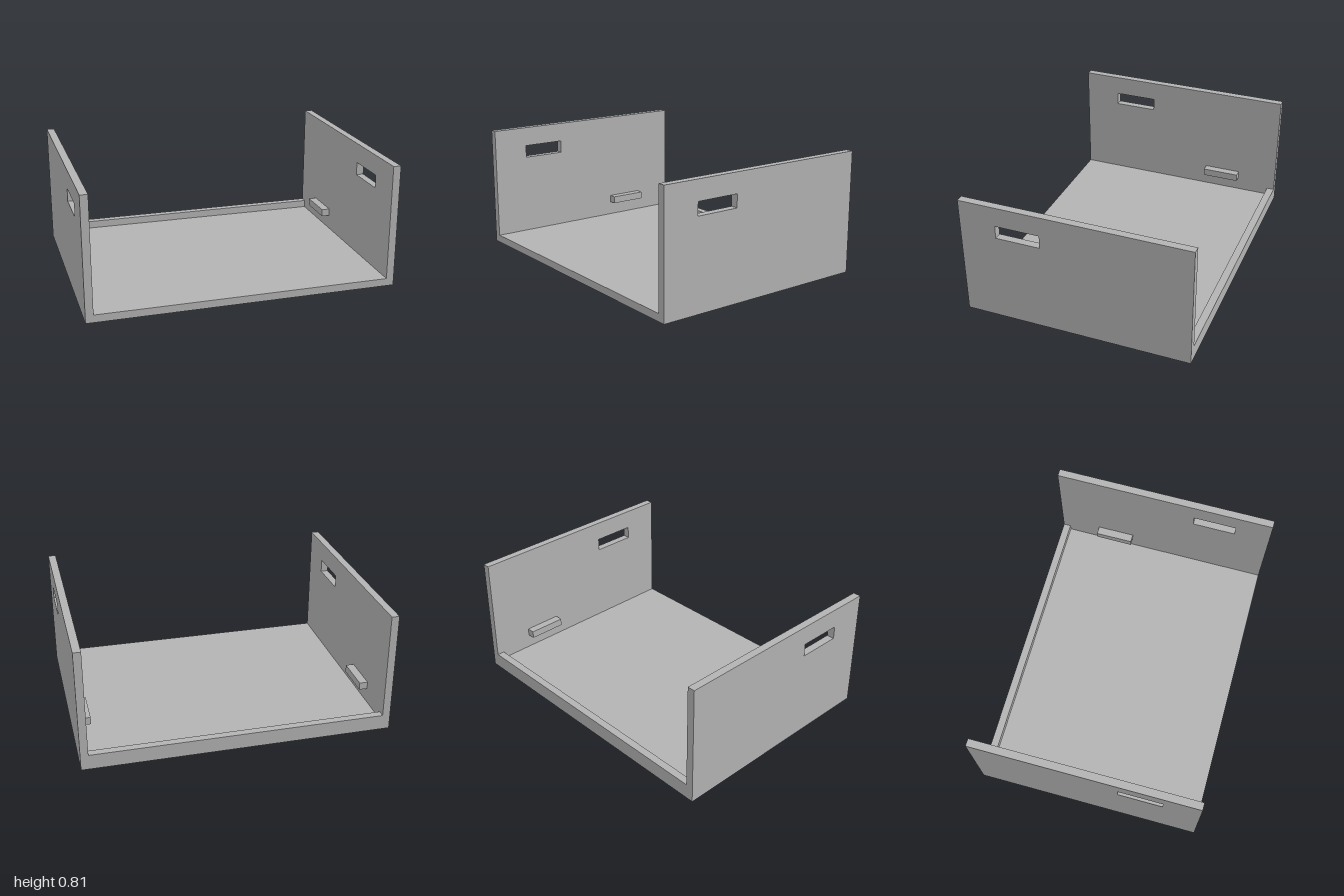
import * as THREE from 'three';

const T = 0.05;        // panel thickness
const HEIGHT = 0.805;
const HALF_Z = 0.745;

export function createModel() {
  const group = new THREE.Group();
  const grey = new THREE.MeshStandardMaterial({ color: 0xb3b3b3 });
  grey.name = 'grey';

  const add = (name, geometry, x, y, z) => {
    const mesh = new THREE.Mesh(geometry, grey);
    mesh.name = name;
    mesh.position.set(x, y, z);
    group.add(mesh);
  };

  // Clockwise or counter-clockwise rectangle in the (z, y) plane
  const rect = (path, z0, y0, z1, y1) =>
    path.moveTo(z0, y0).lineTo(z1, y0).lineTo(z1, y1).lineTo(z0, y1).closePath();

  // Side wall profile with its handle slot
  const profile = new THREE.Shape();
  rect(profile, -HALF_Z, 0, HALF_Z, HEIGHT);
  const slot = new THREE.Path();
  rect(slot, 0.215, 0.59, 0.505, 0.675);
  profile.holes.push(slot);
  const wall = new THREE.ExtrudeGeometry(profile, { depth: T, bevelEnabled: false });
  wall.rotateY(-Math.PI / 2); // shape x becomes z, depth runs towards -x

  // Walls and the small lugs on their inner faces
  const lug = new THREE.BoxGeometry(0.055, 0.05, 0.255);
  for (const [side, s] of [['left', 1], ['right', -1]]) {
    add(`${side}Wall`, wall, s > 0 ? 1 : -1 + T, 0, 0);
    add(`${side}Lug`, lug, s * 0.9225, 0.17, -0.3425);
  }

  // Floor between the walls, with a raised lip along the back
  const innerWidth = 2 - 2 * T;
  add('floor', new THREE.BoxGeometry(innerWidth, T, 2 * HALF_Z), 0, T / 2, 0);
  add('backLip', new THREE.BoxGeometry(innerWidth, T, T), 0, T * 1.5, -HALF_Z + T / 2);

  return group;
}
